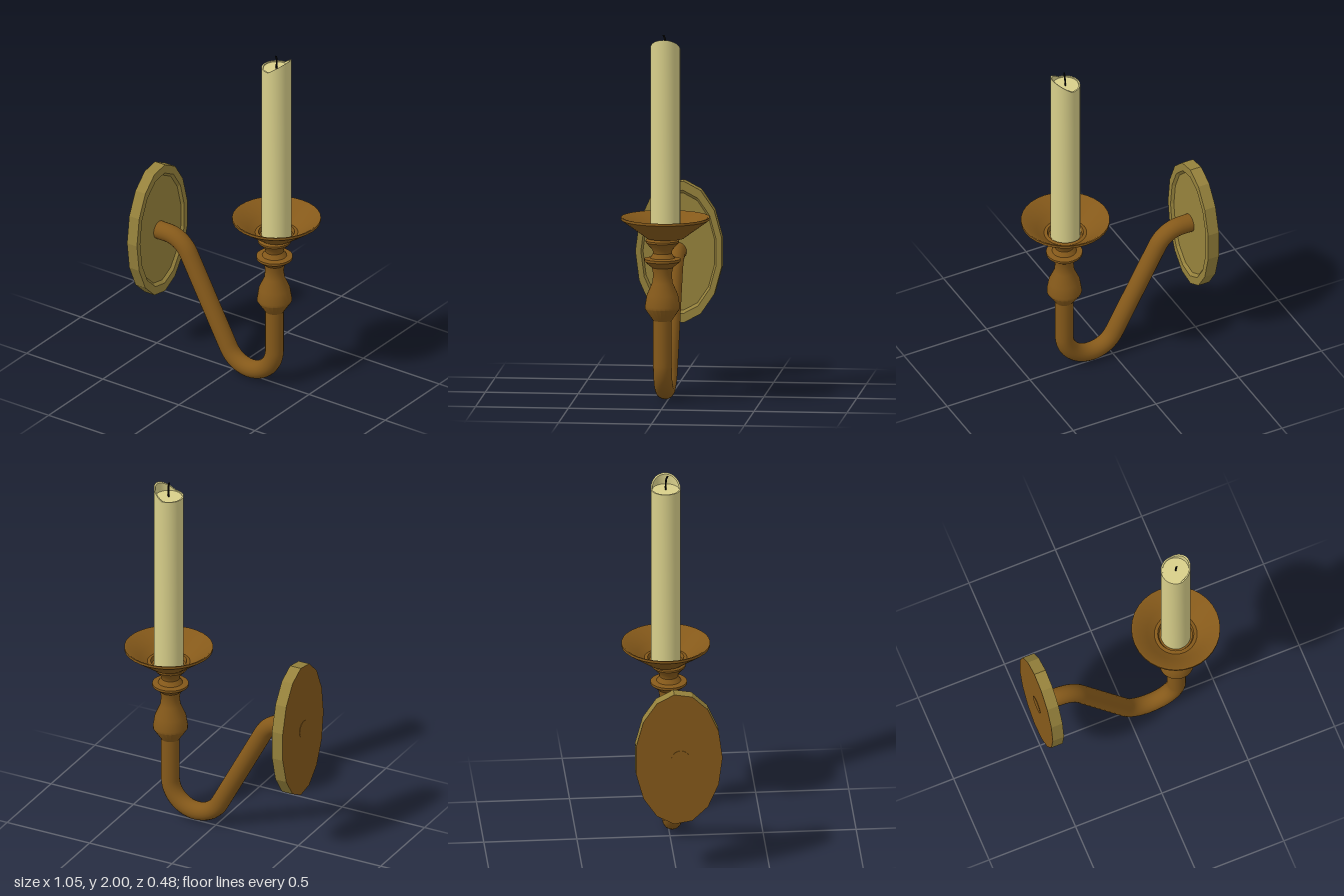
import * as THREE from 'three';
import { toCreasedNormals } from 'three/addons/utils/BufferGeometryUtils.js';

const brass = new THREE.MeshStandardMaterial({ color: 0x85591a });
const plateMetal = new THREE.MeshStandardMaterial({ color: 0x96823c, flatShading: true });
const wax = new THREE.MeshStandardMaterial({ color: 0xd8cf8a });
const black = new THREE.MeshStandardMaterial({ color: 0x0a0a0a });

const lathe = (profile, segments) =>
  new THREE.LatheGeometry(profile.map(([r, y]) => new THREE.Vector2(r, y)), segments);

function add(group, name, geometry, material, x = 0, y = 0, z = 0) {
  const mesh = new THREE.Mesh(geometry, material);
  mesh.name = name;
  mesh.position.set(x, y, z);
  group.add(mesh);
  return mesh;
}

// Lathe laid on its side along x and stretched into an upright oval
function ovalPlate(profile) {
  return lathe(profile, 15).scale(0.386 / 0.235, 1, 1).rotateZ(-Math.PI / 2);
}

export function createModel() {
  const group = new THREE.Group();
  group.name = 'wallCandleHolder';
  const stemX = 0.284, stemZ = 0.016, candleX = 0.286;

  // Wall plate: faceted oval with a raised rim and a plain back
  add(group, 'wallPlate', ovalPlate([
    [0.235, -0.525], [0.235, -0.46], [0.205, -0.46], [0.195, -0.475], [0, -0.475],
  ]), plateMetal, 0, 0.705, 0.006);
  add(group, 'wallPlateBack', ovalPlate([[0, -0.525], [0.235, -0.525]]), brass, 0, 0.705, 0.006);

  // Arm: out from the wall, sloping down, round a U and up to the stem
  const deg = Math.PI / 180;
  const path = new THREE.Path();
  path.moveTo(-0.527, 0.705);
  path.lineTo(-0.42, 0.705);
  path.absarc(-0.42, 0.545, 0.16, 90 * deg, 29 * deg, true);
  path.absarc(0.124, 0.21, 0.16, 209 * deg, 360 * deg, false);
  path.lineTo(stemX, 0.47);
  const points = path.getSpacedPoints(60).map((p) => new THREE.Vector3(p.x, p.y, 0));
  add(group, 'arm', new THREE.TubeGeometry(new THREE.CatmullRomCurve3(points), 80, 0.05, 20), brass, 0, 0, stemZ);
  add(group, 'armEnd', new THREE.CircleGeometry(0.05, 20).rotateY(-Math.PI / 2), brass, -0.527, 0.705, stemZ);

  // Turned stem with knobs
  add(group, 'stem', toCreasedNormals(lathe([
    [0, 0.45], [0.05, 0.45], [0.094, 0.515], [0.094, 0.53], [0.084, 0.59], [0.055, 0.655],
    [0.05, 0.7], [0.057, 0.738], [0.098, 0.772], [0.098, 0.785], [0.066, 0.79],
    [0.05, 0.815], [0.054, 0.835], [0.09, 0.874], [0.09, 0.884], [0.075, 0.9], [0, 0.9],
  ], 24), 0.6), brass, stemX, 0, stemZ);

  // Drip dish with a sunken seat for the candle
  add(group, 'dripDish', toCreasedNormals(lathe([
    [0, 0.893], [0.1, 0.898], [0.238, 0.998], [0.238, 1.012], [0.228, 1.01], [0.155, 0.95],
    [0.115, 0.922], [0.107, 0.926], [0.097, 0.926], [0.09, 0.905], [0, 0.905],
  ], 32), 0.5), brass, candleX);

  // Candle: the rim climbs on the left side above a flat pool
  const poolY = 1.92, rimY = 1.925;
  const candle = lathe([
    [0, 0.9], [0.08, 0.9], [0.08, rimY], [0.072, rimY], [0.071, poolY], [0, poolY],
  ], 40);
  const pos = candle.attributes.position;
  for (let i = 0; i < pos.count; i++) {
    if (Math.abs(pos.getY(i) - rimY) < 0.001) {
      pos.setY(i, rimY + Math.max(0, pos.getX(i)) * 0.72);
    }
  }
  add(group, 'candle', toCreasedNormals(candle, 0.6), wax, candleX);

  // Bent wick
  const wickPath = new THREE.CatmullRomCurve3([
    new THREE.Vector3(0, 1.91, 0), new THREE.Vector3(0.001, 1.95, 0),
    new THREE.Vector3(0.003, 1.98, 0.003), new THREE.Vector3(0.002, 1.998, 0.01),
  ]);
  add(group, 'wick', new THREE.TubeGeometry(wickPath, 12, 0.005, 8), black, candleX);
  add(group, 'wickTip', new THREE.SphereGeometry(0.005, 8, 6), black, candleX + 0.002, 1.995, 0.01);

  return group;
}
